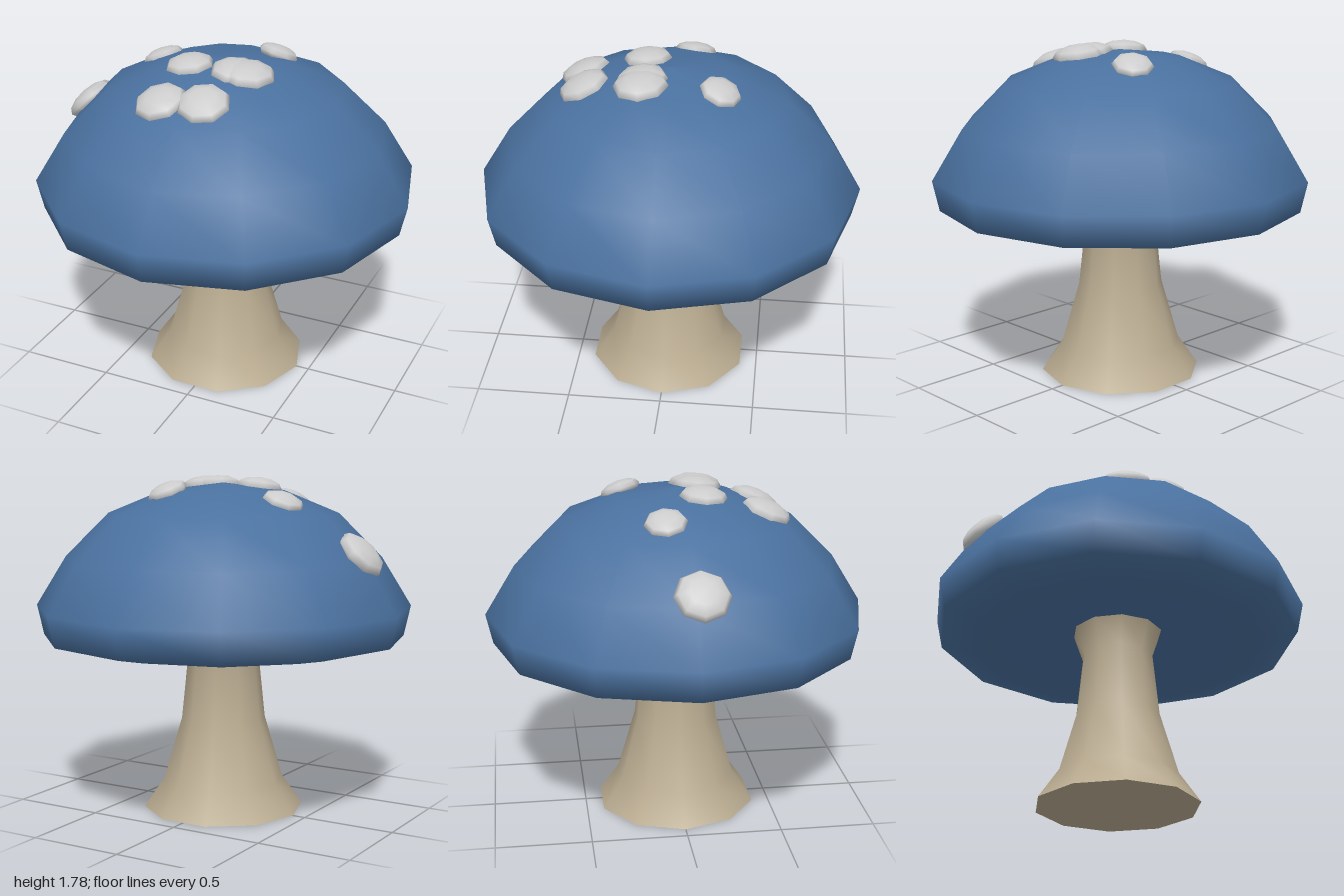
import * as THREE from 'three';

const CAP_SIDES = 12;
const STEM_SIDES = 10;

// upper cap outline [radius, height], rim to crown
const DOME = [[1, 1.1], [0.84, 1.36], [0.61, 1.59], [0.32, 1.71], [0, 1.75]];
// hollow underside, from the centre out to the rim
const UNDERSIDE = [[0, 1.04], [0.22, 1.03], [0.45, 0.95], [0.75, 0.895], [0.965, 0.94]];
const STEM = [[0.43, 0], [0.32, 0.16], [0.225, 0.49], [0.19, 0.83], [0.24, 0.975]];

// spots: [x, z, radius]
const SPOTS = [
  [-0.145, 0.125, 0.125], [0.11, 0.125, 0.13], [0.175, 0.125, 0.14],
  [-0.145, 0.45, 0.135], [0.075, 0.425, 0.135], [-0.41, -0.1, 0.11],
  [0.175, -0.27, 0.108], [-0.79, 0.025, 0.14],
];

const lathe = (profile, sides) =>
  new THREE.LatheGeometry(profile.map(([r, y]) => new THREE.Vector2(r, y)), sides);

function addMesh(parent, name, geometry, material) {
  const mesh = new THREE.Mesh(geometry, material);
  mesh.name = name;
  parent.add(mesh);
  return mesh;
}

// height and outward direction of the faceted dome above (x, z)
function domeAt(x, z) {
  const step = (2 * Math.PI) / CAP_SIDES;
  const angle = Math.atan2(x, z);
  const mid = (Math.floor(angle / step) + 0.5) * step;
  const r = Math.hypot(x, z) * Math.cos(angle - mid) / Math.cos(step / 2);
  let i = 0;
  while (i < DOME.length - 2 && r < DOME[i + 1][0]) i++;
  const [[r0, y0], [r1, y1]] = [DOME[i], DOME[i + 1]];
  const slope = (y1 - y0) / (r0 - r1);
  const normal = new THREE.Vector3(Math.sin(angle) * slope, 1, Math.cos(angle) * slope);
  return { y: y0 + (r0 - r) * slope, normal: normal.normalize() };
}

export function createModel() {
  const model = new THREE.Group();
  model.name = 'mushroom';
  const blue = new THREE.MeshStandardMaterial({ color: 0x4a719f });
  const beige = new THREE.MeshStandardMaterial({ color: 0xbbad92 });
  const grey = new THREE.MeshStandardMaterial({ color: 0xcccccc });

  // cap: underside and dome in one closed profile
  addMesh(model, 'cap', lathe([...UNDERSIDE, ...DOME], CAP_SIDES), blue);

  // stem, with a flat base
  const stem = new THREE.Group();
  stem.name = 'stem';
  model.add(stem);
  addMesh(stem, 'stemSide', lathe(STEM, STEM_SIDES).rotateY(Math.PI / 2), beige);
  addMesh(stem, 'stemBase', new THREE.CircleGeometry(STEM[0][0], STEM_SIDES).rotateX(Math.PI / 2), beige);

  // flattened spots lying on the dome
  const spots = new THREE.Group();
  spots.name = 'spots';
  model.add(spots);
  const up = new THREE.Vector3(0, 1, 0);
  const spotGeometry = new THREE.SphereGeometry(1, 8, 6);
  SPOTS.forEach(([x, z, radius], i) => {
    const { y, normal } = domeAt(x, z);
    const spot = addMesh(spots, `spot${i + 1}`, spotGeometry, grey);
    spot.position.set(x, y, z);
    spot.quaternion.setFromUnitVectors(up, normal);
    spot.scale.set(radius, radius * 0.42, radius);
  });

  return model;
}
